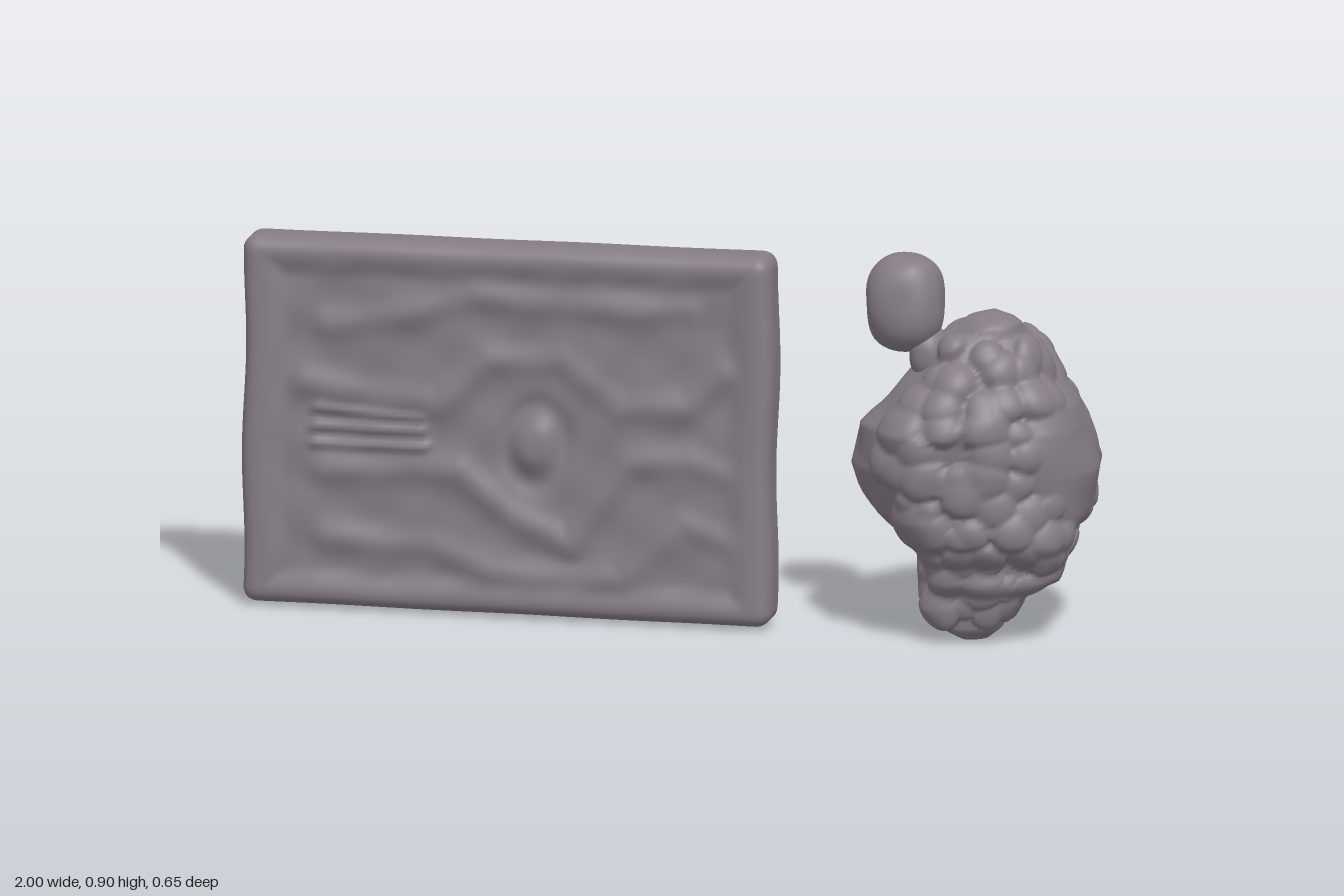
import * as THREE from 'three';
import { mergeVertices } from 'three/addons/utils/BufferGeometryUtils.js';

const material = new THREE.MeshStandardMaterial({ color: 0x857c84 });
const V = (x, y, z = 0) => new THREE.Vector3(x, y, z);

let seed = 7;
const rand = () => (seed = (seed * 16807) % 2147483647) / 2147483647;
const wave = (x, y, z) =>
  Math.sin(x * 23 + y * 9) * Math.sin(y * 31 + z * 17 + 1) + 0.5 * Math.sin(x * 47 - y * 38 + z * 41);

function smooth(geo) {
  geo.deleteAttribute('uv');
  geo.deleteAttribute('normal');
  const merged = mergeVertices(geo, 1e-5);
  merged.computeVertexNormals();
  return merged;
}
function add(group, name, geo) {
  const mesh = new THREE.Mesh(geo, material);
  mesh.name = name;
  group.add(mesh);
}

// Carved ridges on the slab: polylines in x, y
const ridges = [
  [[-0.85, 0.53], [-0.53, 0.49], [-0.42, 0.6], [-0.25, 0.61], [-0.1, 0.5], [0.06, 0.51], [0.14, 0.59]],
  [[-0.8, 0.33], [-0.48, 0.34], [-0.36, 0.24], [-0.22, 0.18], [-0.08, 0.37], [0.06, 0.39], [0.15, 0.36]],
  [[-0.8, 0.67], [-0.6, 0.7], [-0.45, 0.75], [-0.1, 0.73], [0.05, 0.74]],
  [[-0.8, 0.17], [-0.55, 0.16], [-0.4, 0.1], [-0.1, 0.1], [0.05, 0.24], [0.16, 0.2]],
  [[-0.82, 0.39], [-0.56, 0.39]], [[-0.82, 0.43], [-0.57, 0.43]], [[-0.82, 0.475], [-0.57, 0.46]],
].map(line => line.map(p => V(...p)));
const closest = V();
const segment = new THREE.Line3();
function ridgeHeight(x, y) {
  const p = V(x, y);
  let h = 0;
  ridges.forEach((line, k) => {
    const width = k < 4 ? 0.035 : 0.014;
    for (let i = 1; i < line.length; i++) {
      segment.set(line[i - 1], line[i]).closestPointToPoint(p, true, closest);
      h = Math.max(h, Math.exp(-((closest.distanceTo(p) / width) ** 2)));
    }
  });
  return h;
}

// Rounded slab, shallowly recessed within its rim, carved on both faces
function slabGeometry() {
  const W = 1.25, H = 0.86, D = 0.125, r = 0.035;
  const geo = new THREE.BoxGeometry(W, H, D, 140, 96, 8);
  const pos = geo.attributes.position;
  const half = V(W / 2 - r, H / 2 - r, D / 2 - r);
  for (let i = 0; i < pos.count; i++) {
    const p = V().fromBufferAttribute(pos, i);
    const core = p.clone().clamp(half.clone().negate(), half);
    p.sub(core).setLength(r).add(core);
    const x = p.x - 0.372, y = p.y + 0.438;
    const rim = Math.min(W / 2 - Math.abs(p.x) - 0.05, H / 2 - Math.abs(p.y) - 0.035);
    const inside = THREE.MathUtils.smoothstep(rim, 0, 0.06);
    if (inside > 0) {
      const knobDist = Math.hypot((x + 0.3) / 0.045, (y - 0.41) / 0.06);
      const relief = -0.014 + 0.012 * ridgeHeight(x, y) + 0.003 * wave(x, y, 0)
        + 0.018 * Math.exp(-(knobDist ** 4)) - 0.006 * Math.exp(-((knobDist - 1.6) ** 2) * 8);
      p.z += Math.sign(p.z) * inside * relief;
    }
    // The whole slab leans slightly, its foot toward the front
    const lean = -0.035 * (p.y / H);
    const wobble = 0.002 * Math.sin(x * 14 + y * 5);
    pos.setXYZ(i, x + 0.004 * Math.sin(y * 13), y + 0.008 * p.x * (y / H) + wobble * 0.5,
      p.z + 0.096 + 0.014 * p.x + wobble + lean);
  }
  return smooth(geo);
}

// Lump outline seen from above, as fractions of each level's extent
const outline = new THREE.CatmullRomCurve3([
  [0, 0.7], [0.25, 0.32], [0.5, 0], [0.74, 0.07], [0.93, 0.28],
  [1, 0.58], [0.93, 0.8], [0.7, 0.94], [0.34, 1], [0.12, 0.87],
].map(([u, v]) => V(u, 0, v)), true);
// Levels: y, x from, x to, z from, z to
const levels = [
  [0.005, 0.69, 0.76, 0.06, 0.15], [0.03, 0.63, 0.79, 0.025, 0.185], [0.1, 0.6, 0.82, 0.01, 0.2],
  [0.135, 0.6, 0.84, 0.015, 0.2], [0.16, 0.6, 0.9, 0.01, 0.215], [0.2, 0.6, 0.92, -0.01, 0.22],
  [0.25, 0.55, 0.94, -0.15, 0.27], [0.3, 0.49, 0.96, -0.26, 0.28], [0.4, 0.44, 0.97, -0.28, 0.28],
  [0.5, 0.46, 0.95, -0.27, 0.29], [0.55, 0.51, 0.93, -0.22, 0.27], [0.62, 0.57, 0.88, -0.15, 0.23],
  [0.7, 0.63, 0.85, -0.07, 0.18], [0.74, 0.69, 0.82, -0.01, 0.14], [0.75, 0.74, 0.77, 0.05, 0.08],
];
function lumpPoint(y, t) {
  let i = 1;
  while (i < levels.length - 1 && levels[i][0] < y) i++;
  const a = levels[i - 1], b = levels[i];
  const k = THREE.MathUtils.clamp((y - a[0]) / (b[0] - a[0]), 0, 1);
  const [, x0, x1, z0, z1] = a.map((v, n) => v + (b[n] - v) * k);
  const o = outline.getPoint(t % 1);
  return V(x0 + o.x * (x1 - x0), y, z0 + o.z * (z1 - z0));
}

// Swellings on the lump: centre, radius, height
function makeBumps() {
  const side = V(0.98, 0.45, 0.06);
  const bumps = [
    [side, 0.2, 0.03], [V(0.57, 0.4, -0.02), 0.2, 0.015],
    [V(0.59, 0.51, 0.25), 0.07, 0.035], [V(0.74, 0.38, 0.28), 0.065, 0.035], [V(0.59, 0.42, 0.25), 0.06, 0.03],
    [V(0.63, 0.28, 0.25), 0.08, 0.03], [V(0.76, 0.74, 0.09), 0.07, 0.015],
    [V(0.72, 0.41, -0.28), 0.045, 0.045], [V(0.84, 0.48, -0.24), 0.05, 0.04],
    [V(0.82, 0.3, -0.22), 0.05, 0.035], [V(0.78, 0.63, -0.14), 0.05, 0.045],
  ];
  // Clusters: around the whole crown, and away from the smooth face below it
  for (let y = 0.09; y < 0.74; y += 0.06) {
    const start = y > 0.58 ? 0.04 : 0.23;
    const count = y > 0.66 || y < 0.2 ? 7 : 11;
    for (let i = 0; i < count; i++) {
      const t = start + (0.88 - start) * (i + rand() * 0.7) / count;
      const c = lumpPoint(y + (rand() - 0.5) * 0.04, t);
      const r = 0.034 + 0.024 * rand();
      if (c.distanceTo(side) > 0.16) bumps.push([c, r, r * 0.6]);
    }
  }
  return bumps;
}
function lumpGeometry() {
  const rows = 110, sides = 150, verts = [], index = [], bumps = makeBumps();
  for (let i = 0; i <= rows; i++) {
    const y = 0.005 + 0.745 * i / rows;
    for (let j = 0; j < sides; j++) {
      const p = lumpPoint(y, j / sides);
      let swell = 0;
      for (const [c, r, h] of bumps) {
        const d = c.distanceTo(p) / r;
        if (d < 1) swell = Math.max(swell, h * Math.sqrt(1 - d * d));
      }
      const out = p.clone().sub(V(0.73, 0.17 + 0.6 * y, 0.05)).normalize();
      p.addScaledVector(out, swell + 0.003 * wave(p.x, p.y, p.z));
      verts.push(p.x, Math.max(p.y, 0), p.z);
      if (i === rows) continue;
      const a = i * sides + j, b = i * sides + (j + 1) % sides;
      index.push(a, a + sides, b, b, a + sides, b + sides);
    }
  }
  // Close both ends
  for (const [row, y] of [[0, 0], [rows, 0.762]]) {
    const c = verts.length / 3;
    verts.push(row ? 0.755 : 0.73, y, row ? 0.065 : 0.1);
    for (let j = 0; j < sides; j++) {
      const a = row * sides + j, b = row * sides + (j + 1) % sides;
      index.push(...(row ? [a, c, b] : [a, b, c]));
    }
  }
  const geo = new THREE.BufferGeometry();
  geo.setAttribute('position', new THREE.Float32BufferAttribute(verts, 3));
  geo.setIndex(index);
  geo.computeVertexNormals();
  return geo;
}

// Uneven, slightly boxy rounded lobe
function lobe(group, name, center, radii, power = 2.4) {
  const geo = new THREE.IcosahedronGeometry(1, 12);
  const pos = geo.attributes.position;
  const c = V(...center);
  for (let i = 0; i < pos.count; i++) {
    const p = V().fromBufferAttribute(pos, i);
    const norm = p.toArray().reduce((sum, v) => sum + Math.abs(v) ** power, 0) ** (1 / power);
    p.divideScalar(norm).multiply(V(...radii));
    p.multiplyScalar(1 + 0.03 * wave(p.x + c.x, p.y + c.y, p.z + c.z)).add(c);
    pos.setXYZ(i, p.x, p.y, p.z);
  }
  add(group, name, smooth(geo));
}

export function createModel() {
  const model = new THREE.Group();
  add(model, 'carvedSlab', slabGeometry());

  const lump = new THREE.Group();
  lump.name = 'lump';
  model.add(lump);
  add(lump, 'lumpBody', lumpGeometry());
  // Upper lobe and its neck
  lobe(lump, 'topLobe', [0.562, 0.783, 0.112], [0.09, 0.115, 0.09]);
  lobe(lump, 'topLobeNeck', [0.62, 0.665, 0.11], [0.045, 0.06, 0.065]);
  return model;
}
